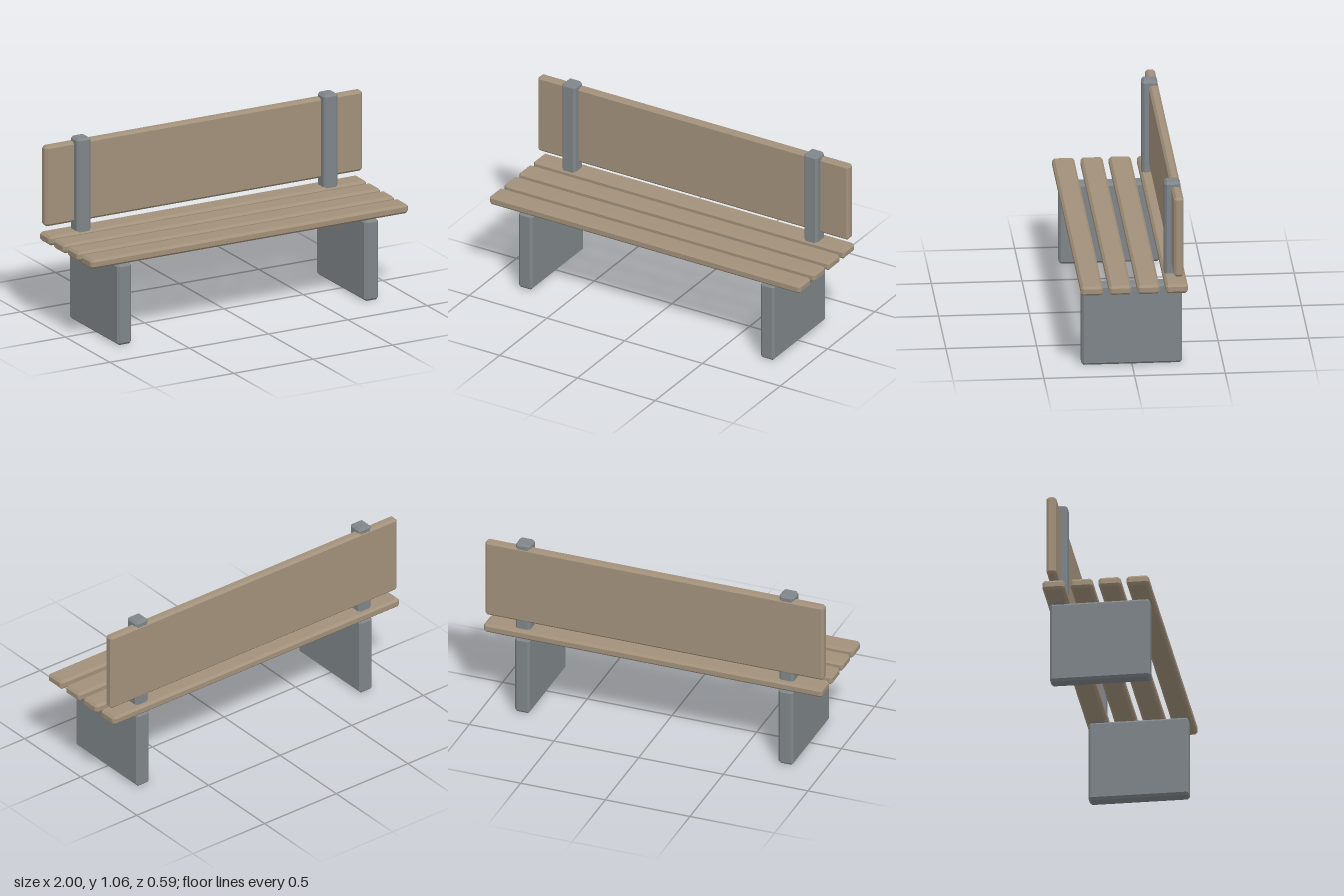
import * as THREE from 'three';
import { ConvexGeometry } from 'three/addons/geometries/ConvexGeometry.js';

const CHAMFER = 0.013;

// Box with every edge cut by a chamfer, given by its extents on each axis
function chamferBox(name, [x0, x1], [y0, y1], [z0, z1], material) {
  const half = [(x1 - x0) / 2, (y1 - y0) / 2, (z1 - z0) / 2];
  const points = [];
  for (const sx of [-1, 1]) for (const sy of [-1, 1]) for (const sz of [-1, 1]) {
    for (let face = 0; face < 3; face++) {
      const [x, y, z] = half.map((h, axis) => (axis === face ? h : h - CHAMFER));
      points.push(new THREE.Vector3(sx * x, sy * y, sz * z));
    }
  }
  const mesh = new THREE.Mesh(new ConvexGeometry(points), material);
  mesh.name = name;
  mesh.position.set((x0 + x1) / 2, (y0 + y1) / 2, (z0 + z1) / 2);
  return mesh;
}

export function createModel() {
  const bench = new THREE.Group();
  bench.name = 'bench';
  const wood = new THREE.MeshStandardMaterial({ color: 0xa2917b, flatShading: true });
  const concrete = new THREE.MeshStandardMaterial({ color: 0x7f8589, flatShading: true });

  // Slab legs, each with a post that carries the backrest
  for (const [side, x] of [['left', 0.778], ['right', -0.778]]) {
    const width = [x - 0.044, x + 0.044];
    bench.add(chamferBox(side + 'Leg', width, [0, 0.467], [-0.278, 0.278], concrete));
    bench.add(chamferBox(side + 'Post', width, [0.462, 1.062], [-0.268, -0.18], concrete));
  }

  // Four seat slats, front to back
  for (let i = 0; i < 4; i++) {
    const z = 0.234 - i * 0.156;
    bench.add(chamferBox('seatSlat' + (i + 1), [-1, 1], [0.475, 0.528], [z - 0.061, z + 0.061], wood));
  }

  // Single wide backrest board
  bench.add(chamferBox('backrest', [-1, 1], [0.572, 1.036], [-0.272, -0.218], wood));
  return bench;
}
